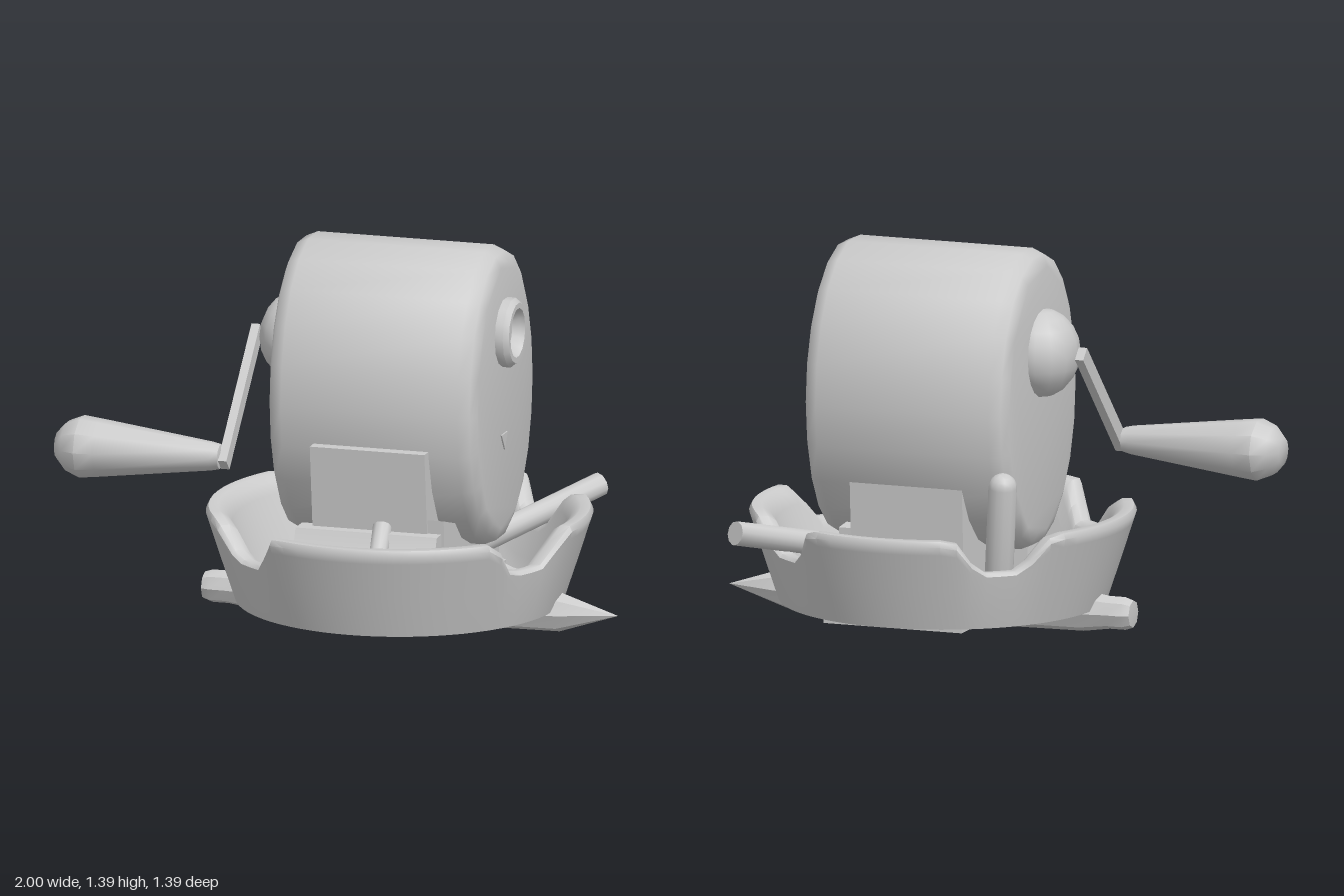
import * as THREE from 'three';
import { toCreasedNormals } from 'three/addons/utils/BufferGeometryUtils.js';

const mat = new THREE.MeshStandardMaterial({ color: 0xcccccc, side: THREE.DoubleSide });
const V = (x, y, z) => new THREE.Vector3(x, y, z);
const pts = list => list.map(p => new THREE.Vector2(p[0], p[1]));

export function createModel() {
  const model = new THREE.Group();
  const add = (name, geo, crease = 0.7) => {
    const mesh = new THREE.Mesh(toCreasedNormals(geo, crease), mat);
    mesh.name = name;
    model.add(mesh);
    return mesh;
  };
  // lathe turned so its axis runs along x; profile is [radius, x]
  const latheX = (profile, sides) =>
    new THREE.LatheGeometry(pts(profile), sides).rotateZ(-Math.PI / 2);
  // outline in (z, y) pushed along x from x0 to x1
  const slabX = (outline, x0, x1) =>
    new THREE.ExtrudeGeometry(new THREE.Shape(pts(outline.map(([z, y]) => [-z, y]))),
      { depth: x1 - x0, bevelEnabled: false }).rotateY(Math.PI / 2).translate(x0, 0, 0);
  // aim a y-axis part from a to b
  const aim = (mesh, a, b) => {
    mesh.position.copy(a).add(b).multiplyScalar(0.5);
    mesh.quaternion.setFromUnitVectors(V(0, 1, 0), b.clone().sub(a).normalize());
  };

  // bowl: lathed wall whose rim dips at four notches
  const bowl = new THREE.LatheGeometry(pts([
    [0.45, 0.1], [0.59, 0.1], [0.64, 0.25], [0.685, 0.39], [0.695, 0.42], [0.685, 0.44],
    [0.65, 0.44], [0.62, 0.42], [0.6, 0.38], [0.55, 0.22], [0.52, 0.15], [0.45, 0.14], [0.45, 0.1],
  ]), 72);
  const notches = [-41, 63, 140, -140];
  const pos = bowl.attributes.position;
  for (let i = 0; i < pos.count; i++) {
    const x = pos.getX(i), y = pos.getY(i), z = pos.getZ(i);
    const deg = THREE.MathUtils.radToDeg(Math.atan2(x, z));
    let n = 0;
    for (const c of notches) n = Math.max(n, 1 - THREE.MathUtils.smoothstep(Math.abs(deg - c), 6, 17));
    const f = (y - 0.1) / 0.34;
    const k = 1 - 0.08 * n * f;
    pos.setXYZ(i, x * k, y - 0.13 * n * f, z * k);
  }
  add('bowl', bowl, 0.8).position.x = 0.18;

  // oval housing with softened side edges
  const oval = new THREE.Shape();
  oval.absellipse(0.05, 0.86, 0.335, 0.485, 0, Math.PI * 2);
  add('housing', new THREE.ExtrudeGeometry(oval, {
    depth: 0.66, curveSegments: 11, bevelThickness: 0.06, bevelSize: 0.06, bevelSegments: 2,
  }).rotateY(Math.PI / 2).translate(-0.16, 0, 0), 0.85);

  // pedestal and foot
  add('pedestal', slabX([[0.33, 0.73], [0.38, 0.73], [0.31, 0.1], [-0.36, 0.1], [-0.39, 0.6], [-0.3, 0.6]], -0.04, 0.39));
  add('pedestalSide', slabX([[0.34, 0.48], [0.31, 0.1], [-0.33, 0.1], [-0.34, 0.4], [0.2, 0.44]], 0.39, 0.45));
  add('foot', slabX([[0.31, 0.43], [0.39, 0.43], [0.42, 0.36], [0.5, 0.26], [0.35, 0.085],
    [-0.52, 0.085], [-0.52, 0.15], [0.26, 0.15]], -0.09, 0.44));
  aim(add('footPin', new THREE.CylinderGeometry(0.035, 0.035, 0.14, 10)), V(0.22, 0.45, 0.34), V(0.24, 0.35, 0.46));

  // pencil opening and small marker on the left side
  add('openingRing', latheX([[0, 0.565], [0.06, 0.568], [0.08, 0.59], [0.09, 0.608],
    [0.11, 0.608], [0.126, 0.59], [0.126, 0.54]], 14)).position.set(0, 1.095, -0.05);
  add('marker', slabX([[0.005, 0.725], [-0.065, 0.725], [-0.035, 0.665]], 0.55, 0.565));

  // crank
  const hub = add('crankHub', new THREE.SphereGeometry(0.16, 14, 10), 1.2);
  hub.scale.x = 0.85;
  hub.position.set(-0.215, 1.03, -0.04);
  aim(add('crankArm', new THREE.BoxGeometry(0.032, 0.58, 0.055)), V(-0.372, 1.04, -0.06), V(-0.372, 0.63, 0.35));
  add('crankHandle', latheX([[0, -1], [0.05, -1], [0.09, -0.965], [0.113, -0.91], [0.105, -0.84],
    [0.052, -0.42], [0.045, -0.39], [0, -0.38]], 10), 0.75).position.set(0, 0.655, 0.33);

  // pencil lying under the bowl
  add('pencil', latheX([[0, -0.555], [0.05, -0.55], [0.06, -0.52], [0.06, -0.46], [0.075, -0.36],
    [0.08, 0.1], [0.073, 0.78], [0, 1]], 8), 0.5).position.y = 0.09;

  // pencil stubs resting in the bowl
  aim(add('longStub', new THREE.CylinderGeometry(0.044, 0.044, 0.61, 10)), V(0.42, 0.28, -0.12), V(0.74, 0.41, -0.62));
  aim(add('roundedStub', new THREE.CapsuleGeometry(0.052, 0.42, 5, 12)), V(-0.17, 0.15, -0.37), V(-0.22, 0.66, -0.445));

  // settle on the ground
  const box = new THREE.Box3().setFromObject(model, true);
  for (const part of model.children) part.position.y -= box.min.y;
  return model;
}
